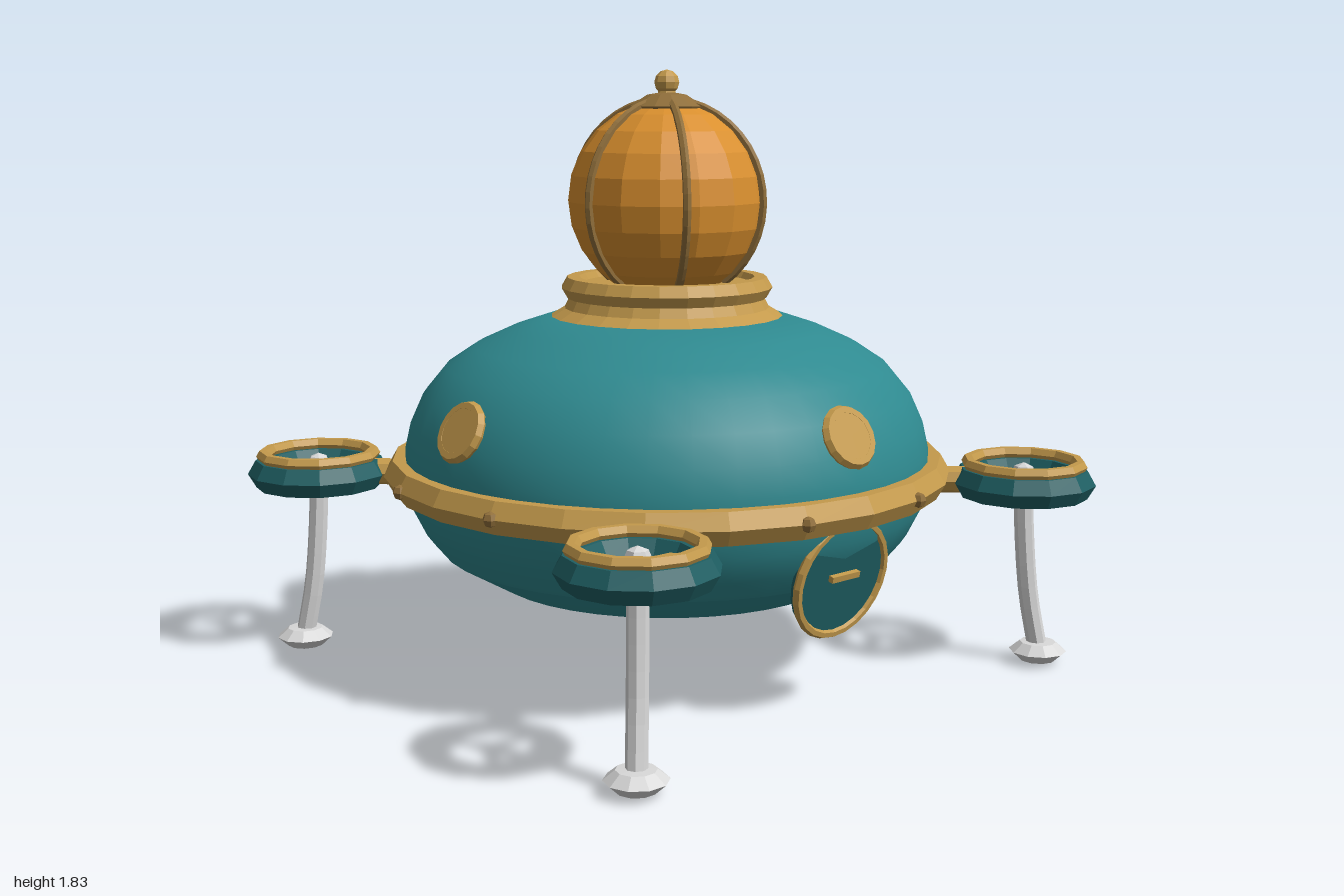
import * as THREE from 'three';

const mat = (name, color, flatShading = false) => {
  const m = new THREE.MeshStandardMaterial({ color, flatShading });
  m.name = name;
  return m;
};

export function createModel() {
  const teal = mat('teal', 0x2f8a90);
  const darkTeal = mat('dark teal', 0x1f5f63, true);
  const gold = mat('gold', 0xc49a4c, true);
  const bronze = mat('bronze', 0x8f6e3a, true);
  const amber = mat('amber', 0xd98f2e, true);
  const silver = mat('silver', 0xd8d8d8, true);

  const model = new THREE.Group();
  model.name = 'flyingSaucer';

  const add = (parent, name, geometry, material, x = 0, y = 0, z = 0) => {
    const mesh = new THREE.Mesh(geometry, material);
    mesh.name = name;
    mesh.position.set(x, y, z);
    parent.add(mesh);
    return mesh;
  };
  const lathe = (pts, segments) =>
    new THREE.LatheGeometry(pts.map(([r, y]) => new THREE.Vector2(r, y)), segments);
  // horizontal ring lying in the xz plane
  const ring = (r, tube, sides, segments) =>
    new THREE.TorusGeometry(r, tube, sides, segments).rotateX(Math.PI / 2);
  // disc facing +z
  const disc = (r, depth, segments) =>
    new THREE.CylinderGeometry(r, r, depth, segments).rotateX(Math.PI / 2);

  // Hull: rounded shell with a creased shallow underside
  add(model, 'hull', lathe([[0.7, 0.37], [0.75, 0.43], [0.79, 0.51], [0.81, 0.6], [0.808, 0.68],
    [0.79, 0.76], [0.75, 0.85], [0.68, 0.935], [0.59, 0.995], [0.48, 1.045], [0.36, 1.085], [0, 1.1]], 40), teal);
  add(model, 'hullUnderside', lathe([[0, 0.228], [0.33, 0.235], [0.54, 0.277], [0.7, 0.37]], 40), teal);

  // Belt and bolts
  add(model, 'belt', ring(0.82, 0.055, 6, 24), gold, 0, 0.61, 0);
  for (let i = 0; i < 12; i++) {
    if (i % 3 === 1) continue; // arm positions
    const a = Math.PI / 12 + i * Math.PI / 6;
    add(model, 'beltBolt', new THREE.SphereGeometry(0.023, 6, 4), bronze,
      Math.cos(a) * 0.868, 0.61, Math.sin(a) * 0.868);
  }

  // Collar under the dome
  add(model, 'collarFlare', lathe([[0.365, 1.08], [0.315, 1.11], [0.295, 1.15]], 24), gold);
  add(model, 'collarRing', ring(0.288, 0.037, 6, 24), gold, 0, 1.172, 0);
  add(model, 'collarTop', new THREE.CylinderGeometry(0.27, 0.27, 0.02, 24), gold, 0, 1.175, 0);

  // Dome, ribs, cap and knob
  const domeY = 1.435;
  add(model, 'dome', new THREE.SphereGeometry(0.303, 16, 12), amber, 0, domeY, 0);
  for (let i = 0; i < 6; i++) {
    const rib = new THREE.TorusGeometry(0.305, 0.013, 6, 16, 2.4)
      .rotateZ(-0.93).rotateY(i * Math.PI / 3);
    add(model, 'domeRib', rib, bronze, 0, domeY, 0);
  }
  add(model, 'domeCap', lathe([[0, 1.69], [0.1, 1.695], [0.115, 1.72], [0.06, 1.755], [0, 1.765]], 12), bronze);
  add(model, 'knobStem', new THREE.CylinderGeometry(0.022, 0.03, 0.04, 8), gold, 0, 1.765, 0);
  add(model, 'knob', new THREE.SphereGeometry(0.038, 8, 6), gold, 0, 1.792, 0);

  // Four portholes, tilted to follow the hull
  for (let i = 0; i < 4; i++) {
    const turn = new THREE.Group();
    turn.name = 'porthole';
    turn.rotation.y = i * Math.PI / 2;
    model.add(turn);
    const tilt = new THREE.Group();
    tilt.name = 'portholeFrame';
    tilt.position.set(0, 0.812, 0.772);
    tilt.rotation.x = -0.47;
    turn.add(tilt);
    add(tilt, 'portholeRim', new THREE.TorusGeometry(0.077, 0.018, 6, 16), gold);
    add(tilt, 'portholePane', disc(0.077, 0.03, 16), gold);
  }

  // Round hatch at the front
  const hatch = new THREE.Group();
  hatch.name = 'hatch';
  hatch.position.set(0, 0.405, 0.739);
  hatch.rotation.x = 0.2;
  model.add(hatch);
  add(hatch, 'hatchDoor', disc(0.172, 0.03, 24), darkTeal);
  add(hatch, 'hatchRim', new THREE.TorusGeometry(0.172, 0.014, 6, 24), gold, 0, 0, 0.012);
  add(hatch, 'hatchHandle', new THREE.BoxGeometry(0.11, 0.018, 0.02), gold, 0, 0.01, 0.022);

  // Four rotor pods, each with arm, ducts, spokes, leg and foot
  for (let i = 0; i < 4; i++) {
    const corner = new THREE.Group();
    corner.name = 'cornerPod';
    corner.rotation.y = i * Math.PI / 2;
    model.add(corner);

    const arm = add(corner, 'arm', new THREE.CylinderGeometry(0.042, 0.042, 0.17, 8).rotateX(Math.PI / 2),
      gold, 0.605, 0.578, 0.605);
    arm.rotation.y = Math.PI / 4;

    const pod = new THREE.Group();
    pod.name = 'rotor';
    pod.position.set(0.78, 0, 0.78);
    corner.add(pod);
    add(pod, 'rotorDuct', ring(0.17, 0.05, 6, 12), darkTeal, 0, 0.575, 0);
    add(pod, 'rotorTrim', ring(0.172, 0.021, 6, 12), gold, 0, 0.63, 0);
    for (let k = 0; k < 3; k++) {
      const spoke = new THREE.BoxGeometry(0.034, 0.014, 0.14).translate(0, 0, -0.07)
        .rotateY(k * 2 * Math.PI / 3);
      add(pod, 'rotorSpoke', spoke, gold, 0, 0.585, 0);
    }
    add(pod, 'rotorHub', new THREE.SphereGeometry(0.04, 6, 4), silver, 0, 0.595, 0);

    // leg bows gently outward
    const path = new THREE.CatmullRomCurve3([[0, 0.59], [0.005, 0.42], [0.018, 0.22], [0.042, 0.04]]
      .map(([d, y]) => new THREE.Vector3(d, y, d)));
    add(pod, 'leg', new THREE.TubeGeometry(path, 8, 0.03, 8), silver);
    add(pod, 'foot', lathe([[0, 0], [0.055, 0.008], [0.088, 0.038], [0.055, 0.065], [0, 0.068]], 10),
      silver, 0.042, 0, 0.042);
  }
  return model;
}
